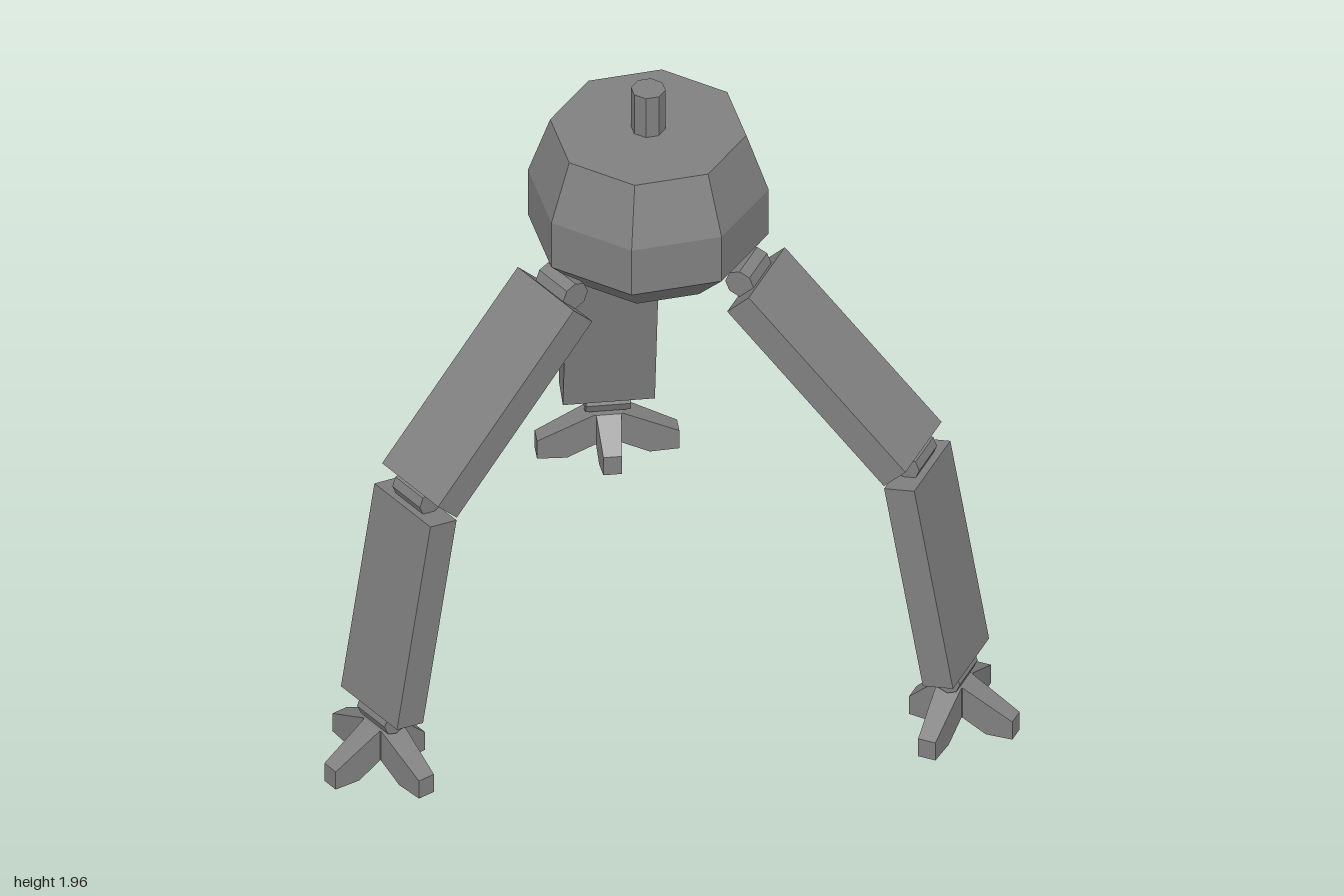
import * as THREE from 'three';

const grey = new THREE.MeshStandardMaterial({ color: 0x808080, flatShading: true });
grey.name = 'grey';

function add(parent, name, geometry, x = 0, y = 0, z = 0) {
  const mesh = new THREE.Mesh(geometry, grey);
  mesh.name = name;
  mesh.position.set(x, y, z);
  parent.add(mesh);
  return mesh;
}

// Flat limb segment running between two points [y, z] of the leg plane
function limb(parent, name, [y0, z0], [y1, z1]) {
  const length = Math.hypot(y1 - y0, z1 - z0);
  const mesh = add(parent, name, new THREE.BoxGeometry(0.265, length, 0.095), 0, (y0 + y1) / 2, (z0 + z1) / 2);
  mesh.rotation.x = Math.atan2(z0 - z1, y0 - y1);
}

// Eight-sided hinge pin lying across the leg
function joint(parent, name, y, z, radius) {
  const geometry = new THREE.CylinderGeometry(radius, radius, 0.13, 8);
  geometry.rotateZ(Math.PI / 2);
  add(parent, name, geometry, 0, y, z);
}

// Toe sloping down to the ground along +x, narrowing to its tip
function toeGeometry(length) {
  const shape = new THREE.Shape([
    [0, 0.045], [0.035, 0.045], [length * 0.58, 0], [length, 0],
    [length, 0.062], [0.04, 0.147], [0, 0.147],
  ].map(([x, y]) => new THREE.Vector2(x, y)));
  const geometry = new THREE.ExtrudeGeometry(shape, { depth: 0.08, bevelEnabled: false });
  geometry.translate(0, 0, -0.04);
  const p = geometry.attributes.position;
  for (let i = 0; i < p.count; i++) {
    p.setZ(i, p.getZ(i) * (1 - 0.33 * p.getX(i) / length));
  }
  geometry.computeVertexNormals();
  return geometry;
}

function createLeg() {
  const leg = new THREE.Group();
  joint(leg, 'hipJoint', 1.402, 0.31, 0.044);
  limb(leg, 'upperLeg', [1.382, 0.334], [0.902, 0.82]);
  joint(leg, 'kneeJoint', 0.9, 0.828, 0.04);
  limb(leg, 'lowerLeg', [0.868, 0.834], [0.203, 0.954]);
  joint(leg, 'ankleJoint', 0.178, 0.954, 0.04);

  // Foot with a hub and four toes: front, two sides, shorter back
  const foot = new THREE.Group();
  foot.name = 'foot';
  foot.position.z = 0.95;
  add(foot, 'footHub', new THREE.BoxGeometry(0.08, 0.102, 0.08), 0, 0.096, 0);
  [0.205, 0.13, 0.205, 0.19].forEach((length, i) => {
    add(foot, 'toe', toeGeometry(length)).rotation.y = i * Math.PI / 2;
  });
  leg.add(foot);
  return leg;
}

export function createModel() {
  const model = new THREE.Group();
  model.name = 'tripodWalker';
  const walker = new THREE.Group();
  walker.name = 'walker';
  walker.position.z = -0.235;
  model.add(walker);

  // Octagonal body
  const profile = [[0, 1.375], [0.24, 1.375], [0.347, 1.483], [0.347, 1.64], [0.283, 1.825], [0, 1.825]];
  add(walker, 'body', new THREE.LatheGeometry(profile.map(([r, y]) => new THREE.Vector2(r, y)), 8));

  // Stub on top
  add(walker, 'topStub', new THREE.CylinderGeometry(0.05, 0.05, 0.145, 8), 0, 1.89, 0);

  // Three legs spaced evenly round the body
  ['frontLeg', 'leftLeg', 'rightLeg'].forEach((name, i) => {
    const leg = createLeg();
    leg.name = name;
    leg.rotation.y = i * Math.PI * 2 / 3;
    walker.add(leg);
  });
  return model;
}
